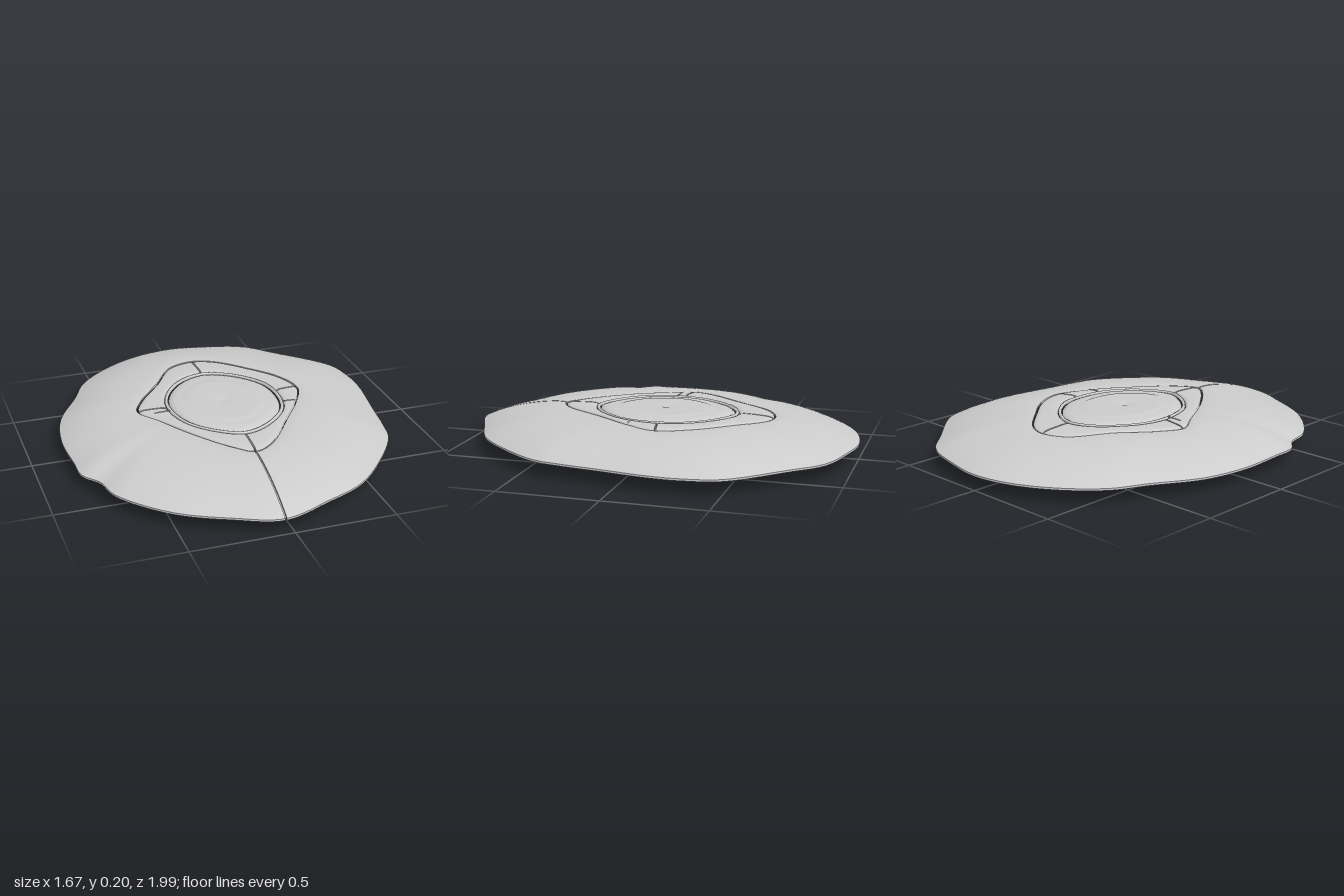
import * as THREE from 'three';
import { toCreasedNormals } from 'three/addons/utils/BufferGeometryUtils.js';

const grey = new THREE.MeshStandardMaterial({ color: 0xcccccc, side: THREE.DoubleSide });

// Radius as a function of angle (0 = front, towards +x) for a closed outline of x, z pairs
function outline(xz) {
  const pts = [];
  for (let i = 0; i < xz.length; i += 2) pts.push(new THREE.Vector3(xz[i], 0, xz[i + 1]));
  const N = 720, table = new Array(N).fill(0);
  const curve = new THREE.CatmullRomCurve3(pts, true, 'centripetal');
  const samples = curve.getPoints(1500).map(p => [Math.atan2(p.x, p.z), Math.hypot(p.x, p.z)]);
  samples.sort((a, b) => a[0] - b[0]);
  let k = 0;
  for (let i = 0; i < N; i++) {
    const a = -Math.PI + (i / N) * Math.PI * 2;
    while (k < samples.length - 1 && samples[k][0] < a) k++;
    table[i] = samples[k][1];
  }
  return t => {
    const f = ((((t + Math.PI) / (Math.PI * 2)) % 1 + 1) % 1) * N, i = Math.floor(f) % N;
    return THREE.MathUtils.lerp(table[i], table[(i + 1) % N], f - Math.floor(f));
  };
}

const rimR = outline([0, -1, .19, -.97, .41, -.9, .56, -.755, .79, -.5, .83, -.32, .83, -.18, .79, .08,
  .757, .29, .725, .42, .58, .63, .4, .81, .19, .91, -.05, .995, -.26, .92, -.5, .79, -.71, .555, -.75, .41,
  -.815, .32, -.825, .185, -.835, -.05, -.79, -.29, -.66, -.53, -.58, -.69, -.42, -.845, -.21, -.96]);
const panelR = outline([0, -.575, .1, -.54, .24, -.4, .37, -.24, .425, -.08, .36, .08, .24, .26, .08, .475,
  -.02, .53, -.1, .47, -.245, .29, -.37, .08, -.44, -.05, -.39, -.17, -.26, -.34, -.13, -.53]);
const crownR = outline([0, -.37, .14, -.31, .26, -.16, .28, 0, .24, .15, .12, .28, 0, .33,
  -.1, .29, -.22, .17, -.27, 0, -.25, -.15, -.14, -.31]);

// Height of the dome at angle t and radius r
const domeY = (t, r) => .08 + .12 * (1 - Math.min(1, r / rimR(t)) ** 4);

// Surface from rows of points: u runs round the model, v along the cross-section
function surface(name, nu, nv, point, crease = .7) {
  const pos = [], idx = [];
  for (let i = 0; i <= nu; i++) for (let j = 0; j <= nv; j++) pos.push(...point(i, j));
  for (let i = 0; i < nu; i++) for (let j = 0; j < nv; j++) {
    const a = i * (nv + 1) + j, b = a + nv + 1;
    idx.push(a, a + 1, b, a + 1, b + 1, b);
  }
  const g = new THREE.BufferGeometry();
  g.setAttribute('position', new THREE.Float32BufferAttribute(pos, 3));
  g.setIndex(idx);
  const mesh = new THREE.Mesh(toCreasedNormals(g, crease), grey);
  mesh.name = name;
  return mesh;
}

// Thick curved sheet between two outlines and two angles, with rolled edges and a slit at each end
function sheet(name, inner, outer, a0, a1, nu, nf, { thick, gap, drop, rollIn, rollOut }) {
  return surface(name, nu, 2 * nf + 2, (i, j) => {
    const under = j > nf && j < 2 * nf + 2;
    const k = j <= nf ? j : under ? 2 * nf + 1 - j : 0;
    const f = .5 - .5 * Math.cos(Math.PI * k / nf);
    const u = THREE.MathUtils.clamp((i - 1) / (nu - 2), 0, 1);
    const capped = i === 0 || i === nu;
    const base = a0 + u * (a1 - a0);
    const r = THREE.MathUtils.lerp(inner(base), outer(base), f);
    const t = base + (gap / r) * (1 - 2 * u);
    const roll = rollIn * (1 - f) ** 14 + rollOut * f ** 14;
    const y = domeY(base, r) - drop - roll - (capped ? thick / 2 : under ? thick : 0);
    return [r * Math.sin(t), y, r * Math.cos(t)];
  });
}

// Raised bead following the dome along a list of [angle, radius] points
function bead(name, polar, radius, lift, closed = false) {
  const pts = polar.map(([t, r]) => new THREE.Vector3(r * Math.sin(t), domeY(t, r) + lift, r * Math.cos(t)));
  const curve = new THREE.CatmullRomCurve3(pts, closed);
  const mesh = new THREE.Mesh(new THREE.TubeGeometry(curve, pts.length * 3, radius, 8, closed), grey);
  mesh.name = name;
  return mesh;
}

export function createModel() {
  const model = new THREE.Group();
  model.name = 'domedCover';
  const seam = -.045, TAU = Math.PI * 2;

  // Wide brim, slit along the front seam
  model.add(sheet('brim', t => panelR(t) + .003, rimR, seam, seam + TAU, 220, 28,
    { thick: .01, gap: .004, drop: 0, rollIn: .008, rollOut: 0 }));

  // Narrower lining just beneath the brim
  model.add(surface('lining', 160, 20, (i, j) => {
    const t = i / 160 * TAU, f = j / 20;
    const r = THREE.MathUtils.lerp(panelR(t) + .004, rimR(t), f);
    return [r * Math.sin(t) * (1 - .075 * f), domeY(t, r) - .012, r * Math.cos(t) * (1 - .02 * f)];
  }));

  // Four panels round the crown
  const joints = [-1.69, -.04, 1.76, Math.PI, TAU - 1.69];
  for (let k = 0; k < 4; k++) {
    model.add(sheet('collarPanel' + (k + 1), t => crownR(t) + .022, t => panelR(t) - .005,
      joints[k], joints[k + 1], 44, 16, { thick: .016, gap: .004, drop: .003, rollIn: .01, rollOut: .008 }));
  }

  // Short stitched joins on the side panels
  for (const [x0, x1, z] of [[-.37, -.29, .005], [.29, .35, .08]]) {
    const polar = [0, .5, 1].map(f => {
      const x = THREE.MathUtils.lerp(x0, x1, f);
      return [Math.atan2(x, z), Math.hypot(x, z)];
    });
    model.add(bead('panelStitch', polar, .004, -.004));
  }

  // Bead between crown and panels
  const ring = Array.from({ length: 72 }, (_, i) => [i / 72 * TAU, crownR(i / 72 * TAU) + .012]);
  model.add(bead('crownBead', ring, .009, -.012, true));

  // Oval crown with a faint ring on top and a rounded bowl hanging below
  const profile = [[0, .199], [.04, .2], [.08, .203], [.3, .204], [.6, .203], [.68, .203], [.71, .2], [.8, .2],
    [.9, .197], [.97, .19], [1, .182], [1, .172], [.9, .15], [.79, .135], [.77, .125], [.73, .112], [.64, .088],
    [.54, .066], [.44, .042], [.34, .02], [.24, .007], [.12, .001], [0, 0]];
  model.add(surface('crown', 96, profile.length - 1, (i, j) => {
    const t = i / 96 * TAU, [s, y] = profile[j], r = crownR(t) * s;
    return [r * Math.sin(t), y, r * Math.cos(t) - .01 * (1 - s)];
  }, .8));

  return model;
}
